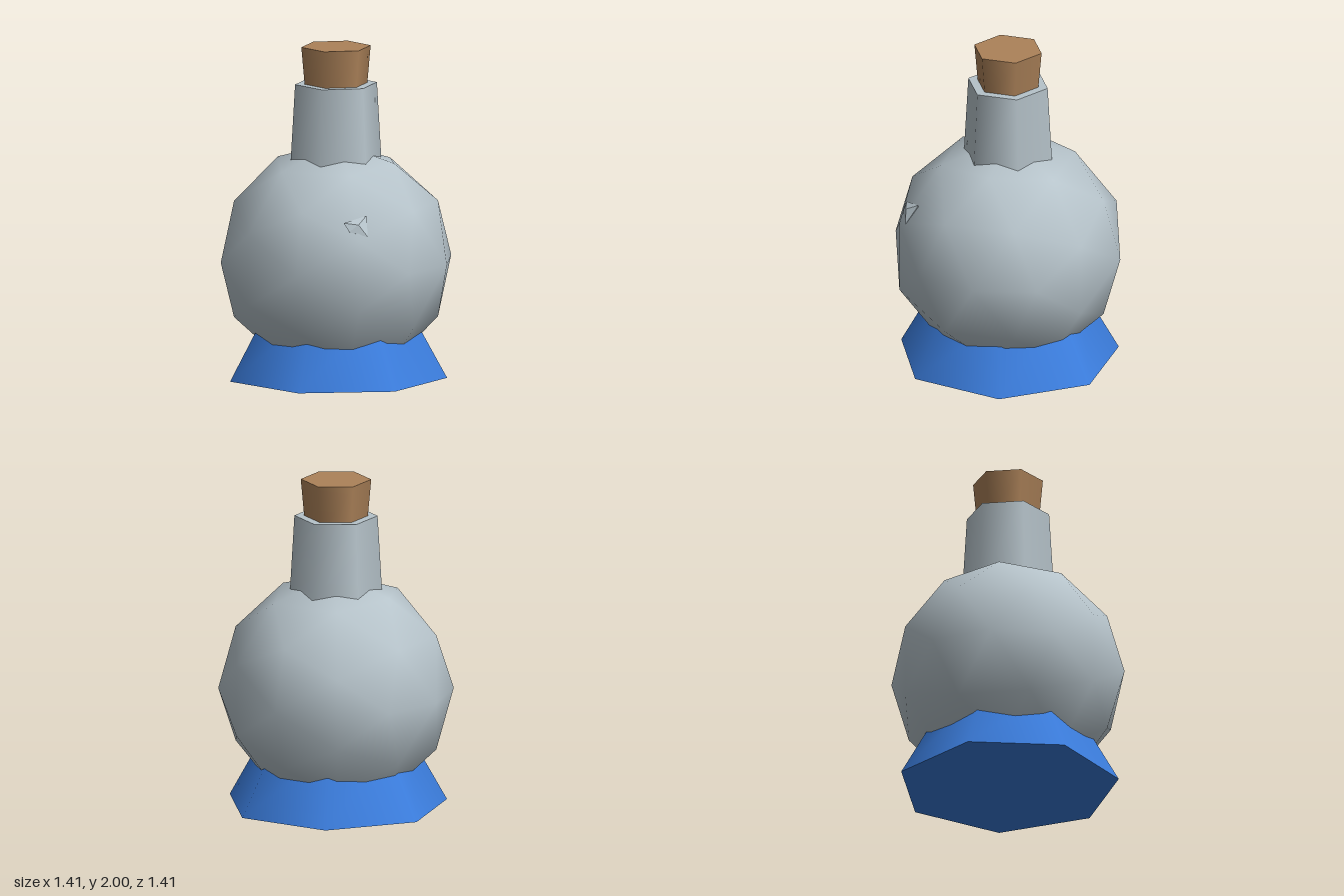
import * as THREE from 'three';
import { ConvexGeometry } from 'three/addons/geometries/ConvexGeometry.js';

export function createModel() {
  const model = new THREE.Group();
  model.name = 'potionFlask';

  const material = (name, color) => {
    const m = new THREE.MeshStandardMaterial({ color });
    m.name = name;
    return m;
  };
  const glass = material('paleGlass', 0xb6c3ca);
  const cork = material('cork', 0xac8259);
  const blue = material('blueStand', 0x3b7ddd);

  const add = (name, geometry, mat, y = 0) => {
    const mesh = new THREE.Mesh(geometry, mat);
    mesh.name = name;
    mesh.position.y = y;
    model.add(mesh);
  };
  // Tapered smooth-sided prism between two heights
  const taper = (name, mat, sides, y0, r0, y1, r1) =>
    add(name, new THREE.CylinderGeometry(r1, r0, y1 - y0, sides), mat, (y0 + y1) / 2);

  // Round body
  add('body', new THREE.IcosahedronGeometry(0.705, 1), glass, 0.71);

  // Seven-sided stand, six-sided neck and stopper
  taper('stand', blue, 7, 0, 0.67, 0.42, 0.437);
  taper('neck', glass, 6, 1.22, 0.281, 1.775, 0.249);
  taper('stopper', cork, 6, 1.7, 0.184, 2, 0.211);

  // Small faceted glint poking out of the shoulder
  const glint = [
    [0.25, 1.03, 0.558], [0.288, 0.98, 0.568], [0.354, 1.063, 0.45],
    [0.39, 0.947, 0.52], [0.336, 1.02, 0.535], [0.27, 0.95, 0.46],
  ].map((p) => new THREE.Vector3(...p));
  add('glint', new ConvexGeometry(glint), glass);

  return model;
}
